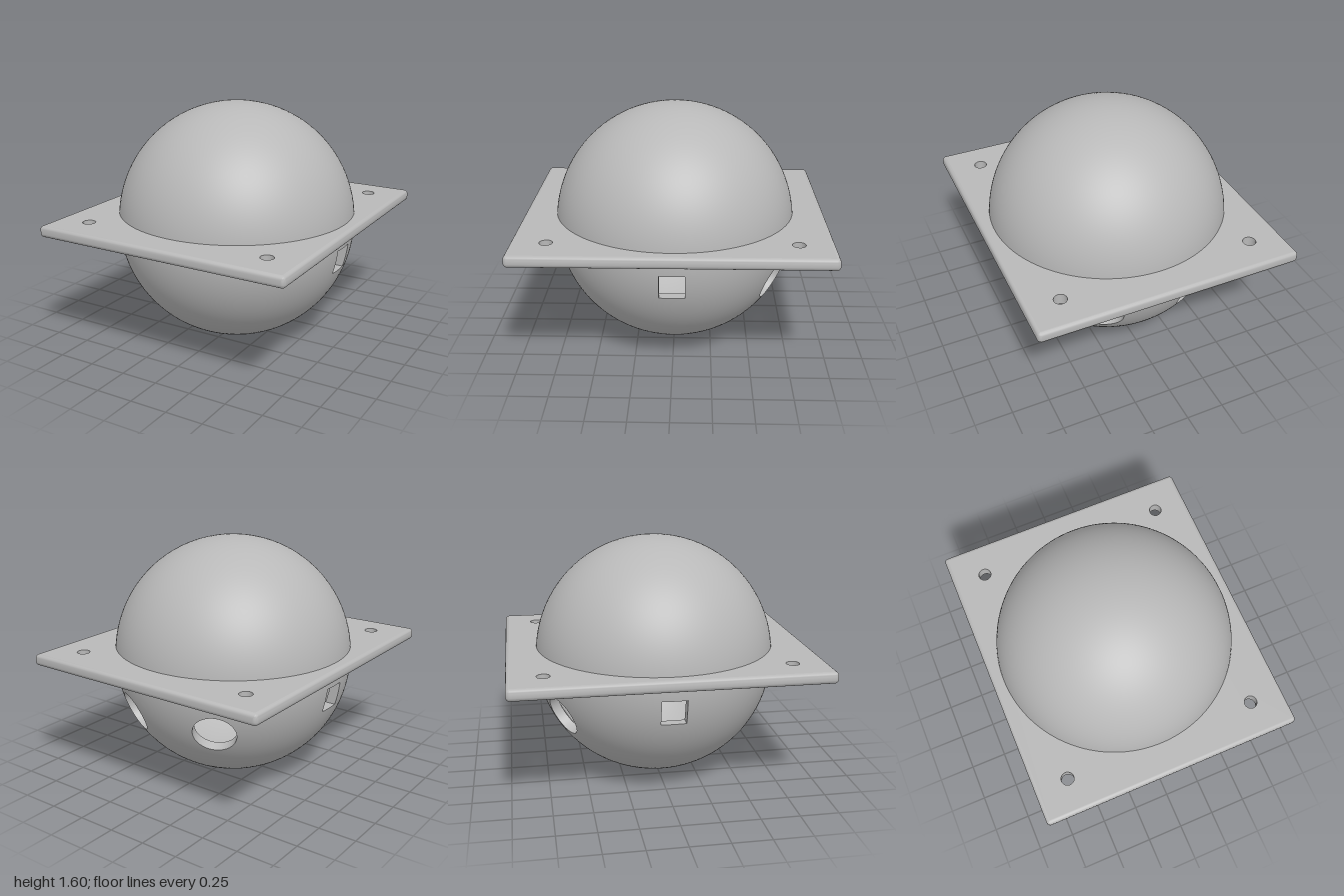
import * as THREE from 'three';
import { toCreasedNormals } from 'three/addons/utils/BufferGeometryUtils.js';
import { ConvexGeometry } from 'three/addons/geometries/ConvexGeometry.js';

const V = (x, y, z) => new THREE.Vector3(x, y, z);
const OUTER = 0.8, INNER = 0.735;

// A hole cut through the ball along an axis; offset moves it sideways from the centre
function makeHole(name, axis, size, count, square = false, offset = V(0, 0, 0)) {
  const n = axis.clone().normalize();
  const ref = Math.abs(n.y) > 0.9 ? V(0, 0, 1) : V(0, 1, 0);
  const u = ref.addScaledVector(n, -ref.dot(n)).normalize();
  const v = n.clone().cross(u);
  return { name, n, u, v, size, count, square, offset };
}

const holes = [makeHole('bottomHole', V(0, -1, 0), 0.035, 20)];
for (const s of [1, -1]) {
  holes.push(makeHole('squarePort', V(s, 0, 0), 0.08, 32, true, V(0, -0.16, 0)));
  holes.push(makeHole('roundPort', V(s * 0.326, -0.307, -0.648), 0.14, 48));
}

// Loop of points where a hole meets a sphere of the given radius
function rimLoop(h, radius) {
  return Array.from({ length: h.count }, (_, i) => {
    const t = (i / h.count) * Math.PI * 2;
    let a = Math.cos(t), b = Math.sin(t);
    if (h.square) {
      const side = Math.floor((i * 4) / h.count), f = ((i * 4) / h.count - side) * 2 - 1;
      [a, b] = [[1, f], [-f, 1], [-1, -f], [f, -1]][side];
    }
    const p = h.offset.clone().addScaledVector(h.u, a * h.size).addScaledVector(h.v, b * h.size);
    return p.addScaledVector(h.n, Math.sqrt(radius * radius - p.lengthSq()));
  });
}

function insideHole(h, p, margin) {
  if (p.dot(h.n) < 0) return false;
  const q = p.clone().sub(h.offset), a = Math.abs(q.dot(h.u)), b = Math.abs(q.dot(h.v));
  return (h.square ? Math.max(a, b) : Math.hypot(a, b)) < h.size + margin;
}

// Sphere surface with the holes left open: hull of even points and rims, minus the caps
function sphereWithHoles(radius, count, inward) {
  const points = [];
  for (let i = 0; i < count; i++) {
    const y = 1 - (2 * i + 1) / count, r = Math.sqrt(1 - y * y), t = i * 2.399963;
    const p = V(r * Math.cos(t), y, r * Math.sin(t)).multiplyScalar(radius);
    if (!holes.some((h) => insideHole(h, p, 0.02))) points.push(p);
  }
  for (const h of holes) points.push(...rimLoop(h, radius));

  const src = new ConvexGeometry(points).attributes.position;
  const pos = [], nor = [];
  for (let i = 0; i < src.count; i += 3) {
    const tri = [0, 1, 2].map((k) => V().fromBufferAttribute(src, i + k));
    const mid = tri[0].clone().add(tri[1]).add(tri[2]).divideScalar(3);
    if (holes.some((h) => insideHole(h, mid, -1e-5))) continue;
    if (inward) tri.reverse();
    for (const p of tri) {
      pos.push(p.x, p.y, p.z);
      const n = p.clone().normalize().multiplyScalar(inward ? -1 : 1);
      nor.push(n.x, n.y, n.z);
    }
  }
  const geo = new THREE.BufferGeometry();
  geo.setAttribute('position', new THREE.Float32BufferAttribute(pos, 3));
  geo.setAttribute('normal', new THREE.Float32BufferAttribute(nor, 3));
  return geo;
}

// Skin through closed loops of equal length
function skin(loops) {
  const n = loops[0].length, index = [];
  for (let i = 0; i < loops.length - 1; i++) {
    for (let j = 0; j < n; j++) {
      const k = (j + 1) % n, a = i * n, b = a + n;
      index.push(a + j, b + j, a + k, b + j, b + k, a + k);
    }
  }
  const geo = new THREE.BufferGeometry().setFromPoints(loops.flat());
  geo.setIndex(index);
  return toCreasedNormals(geo, 0.6);
}

export function createModel() {
  const grey = new THREE.MeshStandardMaterial({ color: 0xb8b8b8 });
  grey.name = 'grey';
  const model = new THREE.Group();
  model.name = 'flangedBall';
  const add = (parent, name, geo) => {
    const mesh = new THREE.Mesh(geo, grey);
    mesh.name = name;
    parent.add(mesh);
  };

  // Hollow ball with its ports
  const ball = new THREE.Group();
  ball.name = 'ball';
  ball.position.y = OUTER;
  add(ball, 'outerShell', sphereWithHoles(OUTER, 5000, false));
  add(ball, 'innerShell', sphereWithHoles(INNER, 3500, true));
  for (const h of holes) add(ball, h.name + 'Wall', skin([rimLoop(h, INNER), rimLoop(h, OUTER)]));
  model.add(ball);

  // Mounting plate: flat core with four screw holes, open inside the ball
  const plate = new THREE.Group();
  plate.name = 'plate';
  plate.position.y = 0.8;
  const thick = 0.075, round = 0.025, hx = 0.875 - round, hz = 1 - round;
  const shape = new THREE.Shape([[-hx, -hz], [hx, -hz], [hx, hz], [-hx, hz]].map((p) => new THREE.Vector2(...p)));
  const cut = (x, y, r) => shape.holes.push(new THREE.Path().absarc(x, y, r, 0, Math.PI * 2, true));
  cut(0, 0, 0.765);
  for (const x of [-0.65, 0.65]) for (const z of [-0.775, 0.775]) cut(x, z, 0.042);
  const core = new THREE.ExtrudeGeometry(shape, { depth: thick, bevelEnabled: false, curveSegments: 32 });
  add(plate, 'plateCore', core.rotateX(-Math.PI / 2));

  // Rounded edge around the plate
  const loops = [];
  for (const top of [0, 1]) {
    for (let i = 0; i <= 5; i++) {
      const a = ((i / 5 + top - 1) * Math.PI) / 2, r = round * Math.cos(a);
      const y = (top ? thick - round : round) + round * Math.sin(a);
      const loop = [];
      for (let c = 0; c < 4; c++) {
        const sx = c === 0 || c === 3 ? 1 : -1, sz = c < 2 ? 1 : -1;
        for (let j = 0; j <= 5; j++) {
          const b = ((c + j / 5) * Math.PI) / 2;
          loop.push(V(sx * hx + r * Math.cos(b), y, sz * hz + r * Math.sin(b)));
        }
      }
      loops.push(loop);
    }
  }
  add(plate, 'plateEdge', skin(loops));
  model.add(plate);
  return model;
}
